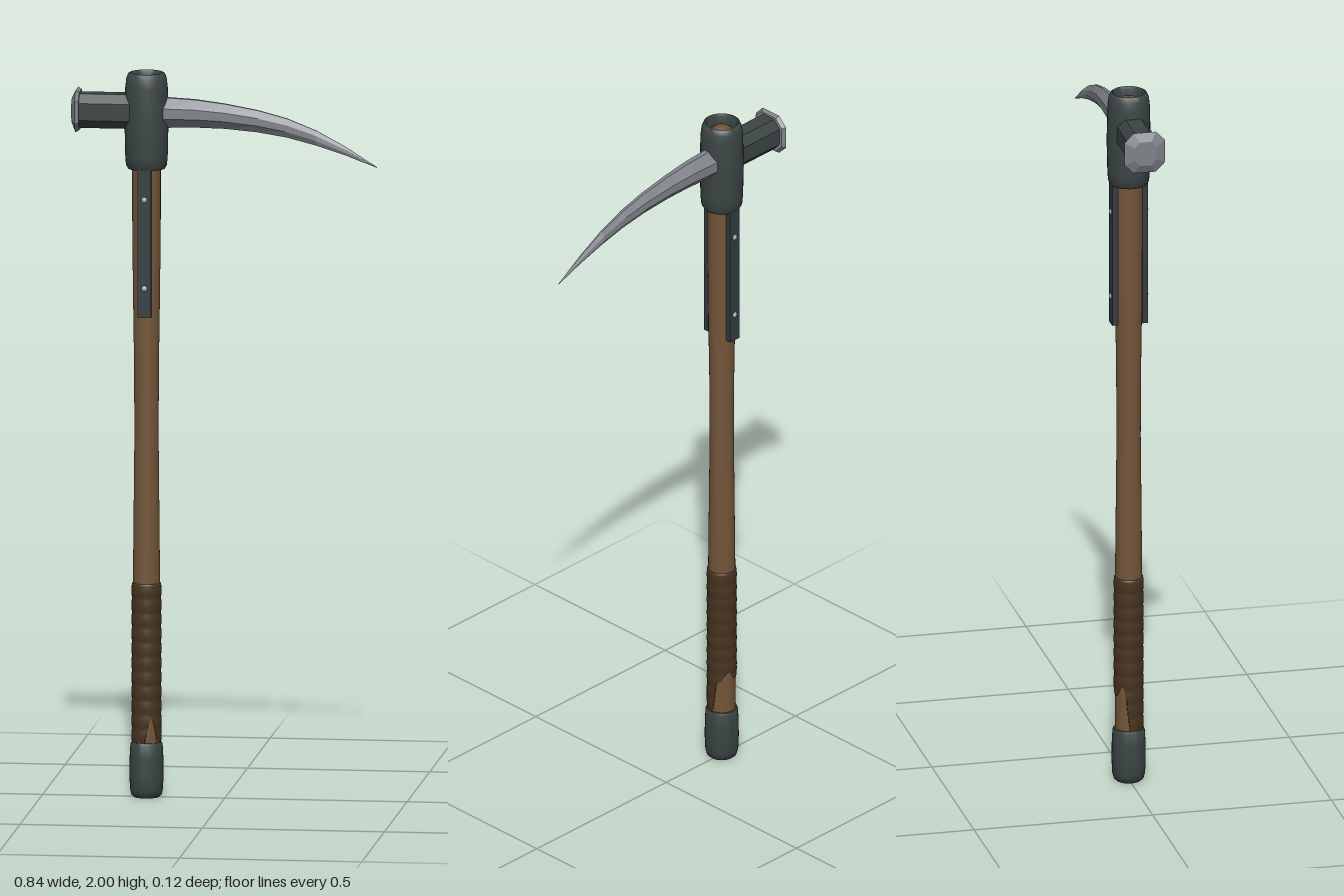
import * as THREE from 'three';
import { toCreasedNormals } from 'three/addons/utils/BufferGeometryUtils.js';

const mat = (name, color) => {
  const m = new THREE.MeshStandardMaterial({ color });
  m.name = name;
  return m;
};

// Flat-faceted bar along x. Each ring: [x, centreY, halfHeight, halfDepth]; flat = share of each side left unchamfered.
function loft(rings, flatY, flatZ) {
  const section = [[1, -flatY], [1, flatY], [flatZ, 1], [-flatZ, 1], [-1, flatY], [-1, -flatY], [-flatZ, -1], [flatZ, -1]];
  const point = (i, j) => {
    const [x, y, h, d] = rings[i];
    const [sz, sy] = section[j % 8];
    return [x, y + sy * h, sz * d];
  };
  const pos = [];
  for (let i = 0; i < rings.length - 1; i++) {
    for (let j = 0; j < 8; j++) {
      const a = point(i, j), b = point(i + 1, j), c = point(i + 1, j + 1), d = point(i, j + 1);
      pos.push(...a, ...b, ...c, ...a, ...c, ...d);
    }
  }
  const g = new THREE.BufferGeometry();
  g.setAttribute('position', new THREE.Float32BufferAttribute(pos, 3));
  g.computeVertexNormals();
  return g;
}

const lathe = (pts, segments = 32) =>
  new THREE.LatheGeometry(pts.map(([r, y]) => new THREE.Vector2(r, y)), segments);

export function createModel() {
  const wood = mat('handle wood', 0x735539);
  const leather = mat('grip leather', 0x46331f);
  const iron = mat('dark iron', 0x3b4444);
  const strapIron = mat('strap iron', 0x343c42);
  const steel = mat('blade steel', 0x7f8389);
  const brightSteel = mat('worn steel', 0x8e9196);
  const rivetSteel = mat('rivet steel', 0xaab4ba);

  const model = new THREE.Group();
  const shaft = new THREE.Group();
  shaft.name = 'shaft';
  shaft.position.x = -0.215;
  model.add(shaft);
  const add = (parent, name, geometry, material) => {
    const mesh = new THREE.Mesh(geometry, material);
    mesh.name = name;
    parent.add(mesh);
    return mesh;
  };

  // Gently waisted wooden handle with a domed top
  add(shaft, 'handle', lathe([
    [0.037, 0.1], [0.038, 0.3], [0.037, 0.6], [0.035, 0.8], [0.033, 1.0], [0.034, 1.2], [0.037, 1.4],
    [0.039, 1.6], [0.039, 1.8], [0.039, 1.955], [0.032, 1.973], [0.018, 1.984], [0, 1.987],
  ]), wood);

  // Ridged leather wrap, its lower edge worn away at the back and in one front spot
  const wrapPts = [];
  const steps = 88;
  for (let i = 0; i <= steps; i++) {
    const y = 0.15 + 0.44 * i / steps;
    wrapPts.push([0.0395 + 0.0016 * Math.abs(Math.sin(Math.PI * i / 8)), y]);
  }
  wrapPts.push([0.036, 0.592]);
  const wrap = lathe(wrapPts, 48);
  const p = wrap.attributes.position;
  for (let i = 0; i < p.count; i++) {
    const angle = Math.atan2(p.getX(i), p.getZ(i));
    const back = THREE.MathUtils.smoothstep(-Math.cos(angle), 0.1, 0.5);
    const spot = Math.max(0, 1 - Math.abs(angle - 0.45) / 0.4);
    const edge = 0.15 + back * (0.115 + 0.015 * Math.sin(angle * 5)) + 0.075 * Math.sqrt(spot);
    p.setY(i, Math.max(p.getY(i), edge));
  }
  wrap.computeVertexNormals();
  leather.side = THREE.DoubleSide;
  add(shaft, 'gripWrap', wrap, leather);

  // Rounded iron pommel
  add(shaft, 'pommel', toCreasedNormals(lathe([
    [0, 0], [0.034, 0], [0.041, 0.006], [0.045, 0.022], [0.0465, 0.06], [0.046, 0.11], [0.044, 0.145], [0.041, 0.152], [0.036, 0.152],
  ]), 0.7), iron);

  // Head socket, open at the top
  add(shaft, 'socket', toCreasedNormals(lathe([
    [0.038, 1.735], [0.05, 1.735], [0.056, 1.745], [0.058, 1.77], [0.06, 1.86], [0.058, 1.96],
    [0.055, 1.985], [0.05, 1.997], [0.045, 2.0], [0.041, 1.992], [0.04, 1.97], [0.04, 1.93],
  ]), 0.7), iron);

  // Iron straps with rivets on front and back
  for (const side of [1, -1]) {
    const strap = new THREE.Group();
    strap.name = side > 0 ? 'frontStrap' : 'backStrap';
    strap.rotation.y = side > 0 ? 0 : Math.PI;
    shaft.add(strap);
    add(strap, 'strapPlate', new THREE.BoxGeometry(0.037, 0.42, 0.016), strapIron).position.set(0, 1.54, 0.042);
    for (const y of [1.41, 1.655]) {
      const rivet = add(strap, 'rivet', new THREE.SphereGeometry(0.008, 12, 8), rivetSteel);
      rivet.position.set(0, y, 0.05);
      rivet.scale.z = 0.6;
    }
  }

  // Hammer block and flared striking face
  add(model, 'hammerBlock', loft([[-0.4, 1.893, 0.047, 0.042], [-0.2, 1.893, 0.047, 0.042]], 0.5, 0.5), iron);
  add(model, 'strikingFace', loft([
    [-0.396, 1.893, 0.001, 0.001], [-0.396, 1.893, 0.052, 0.05], [-0.406, 1.893, 0.058, 0.057],
    [-0.418, 1.893, 0.034, 0.03], [-0.418, 1.893, 0.0005, 0.0005],
  ].reverse(), 0.55, 0.55), steel);

  // Curved pick blade tapering to a point
  const blade = [
    [-0.2, 1.892, 0.043, 0.035], [-0.155, 1.89, 0.041, 0.032], [-0.08, 1.889, 0.038, 0.028], [0, 1.883, 0.034, 0.0235],
    [0.09, 1.871, 0.03, 0.0185], [0.17, 1.854, 0.026, 0.014], [0.25, 1.828, 0.0205, 0.0095],
    [0.33, 1.794, 0.012, 0.0055], [0.417, 1.75, 0.001, 0.001],
  ];
  add(model, 'pickBlade', loft(blade.slice(0, 7), 0.35, 0.25), steel);
  add(model, 'pickTip', loft(blade.slice(6), 0.35, 0.25), brightSteel);

  return model;
}
